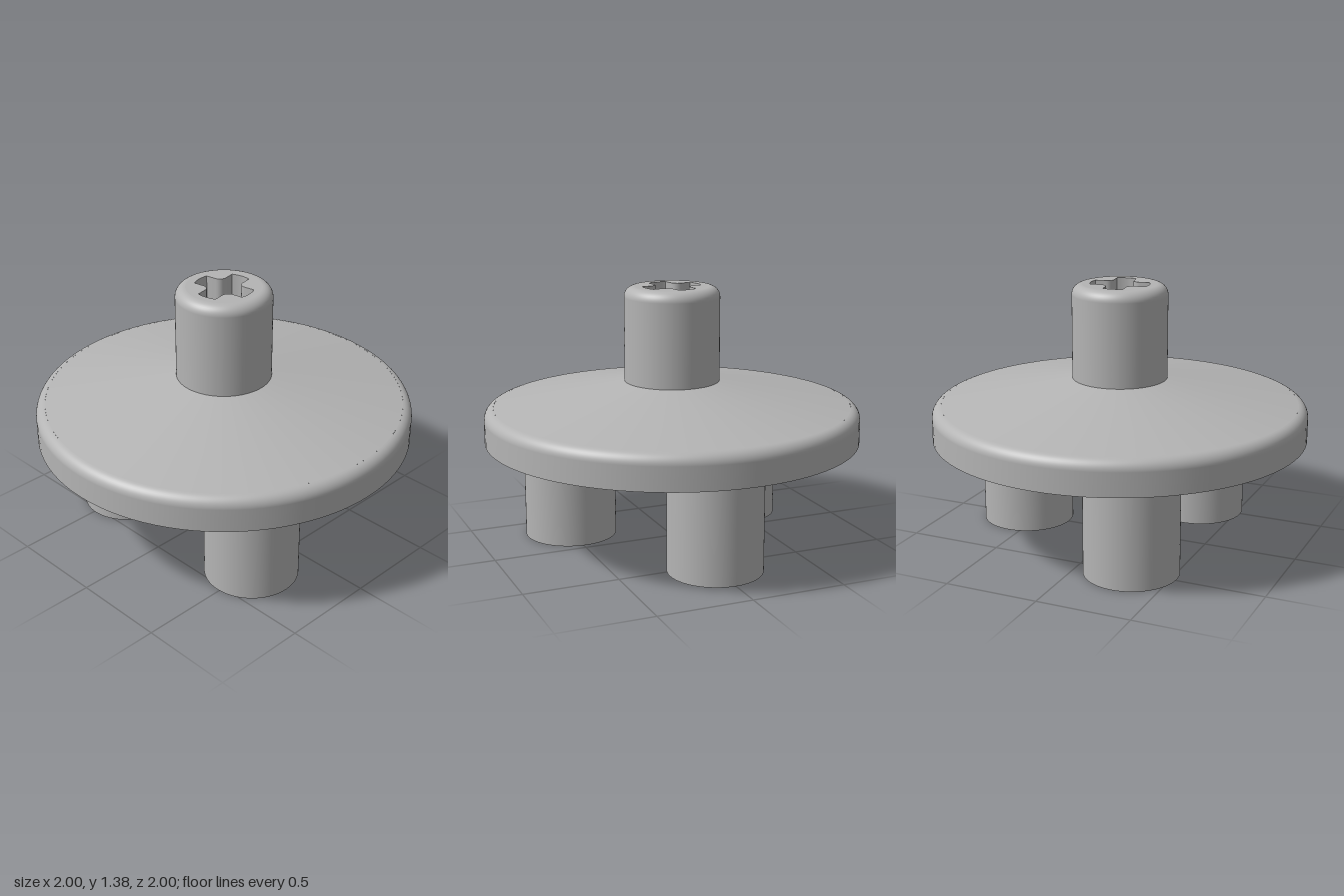
import * as THREE from 'three';
import { mergeGeometries, toCreasedNormals } from 'three/addons/utils/BufferGeometryUtils.js';

const SEGMENTS = 96;
const TOP = 1.38, PLATE = 0.565, TIP = 0.157;

// Profile points given as [radius, height], bottom to top for an outward surface
const revolve = (points) =>
  new THREE.LatheGeometry(points.map(([r, y]) => new THREE.Vector2(r, y)), SEGMENTS);

// Quarter-round from a vertical wall towards the axis
function roundEdge(radius, height, across, rise, sweep = Math.PI / 2) {
  const points = [];
  for (let i = 0; i <= 10; i++) {
    const a = (sweep * i) / 10;
    points.push([radius - across + across * Math.cos(a), height + rise * Math.sin(a)]);
  }
  return points;
}

// Cross outline with curved arm tips and rounded inner corners
function crossOutline(scale) {
  const w = 0.053, f = 0.038, d = Math.asin(w / TIP), points = [];
  for (let k = 0; k < 4; k++) {
    const turn = THREE.MathUtils.degToRad(10 + 90 * k);
    const add = (x, y) => points.push(
      new THREE.Vector2(x * scale, y * scale).rotateAround(new THREE.Vector2(), turn));
    for (let i = 0; i <= 6; i++) {
      const a = -d + (2 * d * i) / 6;
      add(TIP * Math.cos(a), TIP * Math.sin(a));
    }
    for (let i = 0; i <= 6; i++) {
      const a = -Math.PI / 2 - (Math.PI / 2) * (i / 6);
      add(w + f + f * Math.cos(a), w + f + f * Math.sin(a));
    }
  }
  return points;
}

// Flat disc pierced by an outline
function piercedDisc(radius, outline) {
  const shape = new THREE.Shape().absarc(0, 0, radius, 0, Math.PI * 2, false);
  shape.holes.push(new THREE.Path(outline));
  return new THREE.ShapeGeometry(shape, SEGMENTS);
}

// Inward-facing wall joining the upper and lower outlines
function socketWall(upper, lower) {
  const positions = [];
  const put = (p, y) => positions.push(p.x, y, -p.y);
  upper.forEach((a, i) => {
    const j = (i + 1) % upper.length;
    put(a, TOP); put(upper[j], TOP); put(lower[j], PLATE);
    put(a, TOP); put(lower[j], PLATE); put(lower[i], PLATE);
  });
  const geometry = new THREE.BufferGeometry();
  geometry.setAttribute('position', new THREE.Float32BufferAttribute(positions, 3));
  return toCreasedNormals(geometry, 0.6);
}

export function createModel() {
  const model = new THREE.Group();
  const grey = new THREE.MeshStandardMaterial({ color: 0xb4b4b4 });
  grey.name = 'grey';

  const add = (name, geometry) => {
    const mesh = new THREE.Mesh(geometry, grey);
    mesh.name = name;
    model.add(mesh);
    return mesh;
  };

  const upper = crossOutline(1);
  const lower = crossOutline(0.91);

  // Round plate: rim, sloping top and flat underside
  add('plateRim', revolve([[1, PLATE], ...roundEdge(1, 0.69, 0.06, 0.06, 1.4)]));
  add('plateSlope', revolve([[0.95, 0.749], [0.253, 0.878]]));
  const mirrored = lower.map((p) => new THREE.Vector2(p.x, -p.y));
  add('plateUnderside', piercedDisc(1, mirrored).rotateX(Math.PI / 2).translate(0, PLATE, 0));

  // Stem with rounded shoulder and cross-shaped through hole
  add('stem', revolve([[0.253, 0.87], ...roundEdge(0.253, 1.325, 0.055, 0.055)]));
  add('stemTop', piercedDisc(0.198, upper).rotateX(-Math.PI / 2).translate(0, TOP, 0));
  add('crossSocket', socketWall(upper, lower));

  // Three hollow legs evenly spaced under the plate
  const leg = mergeGeometries([
    revolve([[0.248, 0], [0.248, PLATE]]),
    revolve([[0.13, 0], [0.248, 0]]),
    revolve([[0.13, PLATE], [0.13, 0]]),
  ]);
  ['backLeg', 'frontLeftLeg', 'frontRightLeg'].forEach((name, i) => {
    const a = Math.PI - (i * Math.PI * 2) / 3;
    add(name, leg).position.set(0.563 * Math.sin(a), 0, 0.563 * Math.cos(a));
  });

  return model;
}
